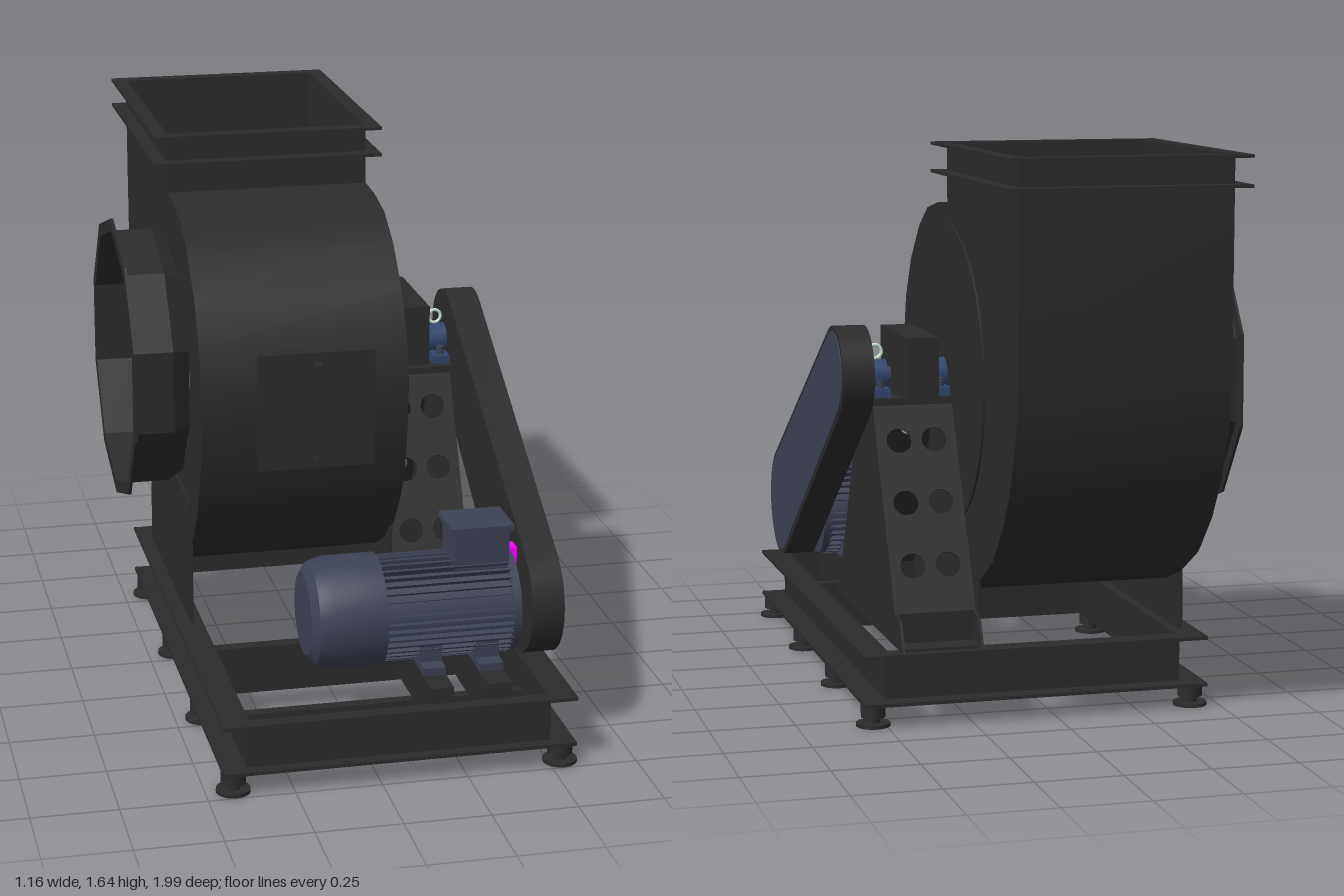
import * as THREE from 'three';
import { toCreasedNormals } from 'three/addons/utils/BufferGeometryUtils.js';

const material = (color) => new THREE.MeshStandardMaterial({ color, side: THREE.DoubleSide });
const dark = material(0x2b2b2b);
const slate = material(0x3d4254);
const blue = material(0x33466e);
const purple = material(0x6a1fe0);
const magenta = material(0xff00ff);
const pale = material(0xcfe8d8);

const AXIS_Y = 0.955, AXIS_Z = -0.14; // fan shaft line
const MOTOR_Y = 0.412, MOTOR_Z = 0.695; // motor shaft line

export function createModel() {
  const root = new THREE.Group();

  const add = (name, geometry, mat = dark, parent = root) => {
    const mesh = new THREE.Mesh(geometry, mat);
    mesh.name = name;
    parent.add(mesh);
    return mesh;
  };
  // box given by its extents
  const box = (name, x0, x1, y0, y1, z0, z1, mat, parent) => {
    const mesh = add(name, new THREE.BoxGeometry(x1 - x0, y1 - y0, z1 - z0), mat, parent);
    mesh.position.set((x0 + x1) / 2, (y0 + y1) / 2, (z0 + z1) / 2);
    return mesh;
  };
  // side plate: [z, y] outline, thickness along x
  const plate = (name, points, x0, x1, mat, holes = []) => {
    const shape = new THREE.Shape(points.map(([z, y]) => new THREE.Vector2(-z, y)));
    for (const [z, y, r] of holes) shape.holes.push(new THREE.Path().absarc(-z, y, r, 0, Math.PI * 2, true));
    const g = new THREE.ExtrudeGeometry(shape, { depth: x1 - x0, bevelEnabled: false, curveSegments: 24 });
    g.rotateY(Math.PI / 2).translate(x0, 0, 0);
    return add(name, toCreasedNormals(g, 0.5), mat);
  };
  // turned part around an x axis: profile of [radius, x]
  const turned = (name, profile, y, z, mat, sides = 32) => {
    const g = new THREE.LatheGeometry(profile.map(([r, x]) => new THREE.Vector2(r, x)), sides);
    g.rotateZ(-Math.PI / 2);
    const mesh = add(name, toCreasedNormals(g, sides < 16 ? 0.3 : 0.5), mat);
    mesh.position.set(0, y, z);
    return mesh;
  };

  // Base frame of channels opening outwards
  for (const [a, b, web] of [[-0.455, -0.38, -0.385], [0.49, 0.57, 0.49]]) {
    box('sideRailWeb', web, web + 0.01, 0.065, 0.215, -0.565, 0.965);
    for (const y of [0.065, 0.205]) box('sideRailFlange', a, b, y, y + 0.01, -0.62, 1);
  }
  for (const [web, a, b] of [[0.955, 0.955, 1], [-0.565, -0.62, -0.555]]) {
    box('endRailWeb', -0.385, 0.5, 0.065, 0.215, web, web + 0.01);
    for (const y of [0.065, 0.205]) box('endRailFlange', -0.455, 0.57, y, y + 0.01, a, b);
  }
  box('crossMember', -0.385, 0.495, 0.07, 0.215, 0.41, 0.45);
  box('lowCrossMember', -0.385, 0.495, 0.07, 0.12, 0.68, 0.715);

  // Anti-vibration feet
  for (const x of [-0.42, 0.535]) for (const z of [0.95, 0.45, -0.055, -0.56]) {
    for (const [r, y, h] of [[0.05, 0.005, 0.01], [0.02, 0.02, 0.03], [0.036, 0.047, 0.04]])
      add('foot', new THREE.CylinderGeometry(r, r, h, 16)).position.set(x, y, z);
  }

  // Scroll casing: outline from the outlet lip round to the outlet back
  const scroll = [[-0.15, 1.64], [-0.15, 1.46], [-0.03, 1.455], [0.1, 1.43], [0.21, 1.365], [0.32, 1.255],
    [0.39, 1.13], [0.42, 1.0], [0.415, 0.88], [0.39, 0.74], [0.34, 0.62], [0.26, 0.51], [0.16, 0.42],
    [0.04, 0.355], [-0.1, 0.325], [-0.25, 0.32], [-0.38, 0.345], [-0.51, 0.39], [-0.67, 0.48],
    [-0.785, 0.6], [-0.86, 0.72], [-0.92, 0.88], [-0.94, 1.05], [-0.945, 1.64]];
  const wall = new THREE.PlaneGeometry(1, 1, scroll.length - 1, 1);
  scroll.forEach(([z, y], i) => {
    wall.attributes.position.setXYZ(i, -0.405, y, z);
    wall.attributes.position.setXYZ(i + scroll.length, 0.21, y, z);
  });
  add('scrollWall', toCreasedNormals(wall, 0.5));
  plate('inletSide', scroll, -0.405, -0.4, dark, [[AXIS_Z, AXIS_Y, 0.36]]);
  plate('driveSide', scroll, 0.203, 0.21, dark);
  turned('driveCoverDisc', [[0, 0.216], [0.45, 0.216], [0.45, 0.208]], AXIS_Y, AXIS_Z, dark, 40);
  for (const x of [-0.412, 0.203])
    plate('casingLeg', [[0.23, 0.215], [0.23, 0.6], [-0.51, 0.6], [-0.51, 0.215]], x, x + 0.008, dark,
      x < 0 ? [[AXIS_Z, AXIS_Y, 0.34]].filter(() => false) : []);

  // Outlet flanges
  for (const y of [1.55, 1.632]) {
    const rect = (s, x0, x1, a, b) => s.moveTo(x0, a).lineTo(x1, a).lineTo(x1, b).lineTo(x0, b).closePath();
    const ring = rect(new THREE.Shape(), -0.445, 0.25, 0.105, 0.99);
    ring.holes.push(rect(new THREE.Path(), -0.404, 0.207, 0.152, 0.944));
    const g = new THREE.ExtrudeGeometry(ring, { depth: 0.009, bevelEnabled: false });
    add('outletFlange', g.rotateX(-Math.PI / 2)).position.y = y;
  }

  // Inlet collar, flange and inner cone; ten-sided with a corner on top
  const collar = turned('inletCollar', [[0.37, -0.405], [0.4, -0.455], [0.4, -0.572]], AXIS_Y, AXIS_Z, dark, 10);
  const rim = turned('inletFlange', [[0.398, -0.578], [0.437, -0.578], [0.437, -0.57], [0.398, -0.57], [0.398, -0.578]],
    AXIS_Y, AXIS_Z, dark, 10);
  for (const part of [collar, rim]) part.rotation.x = Math.PI / 2;
  turned('inletCone', [[0.38, -0.403], [0.33, -0.3], [0.275, -0.17], [0.25, -0.07]], AXIS_Y, AXIS_Z, dark);

  // Impeller: shroud, back disc, blades
  turned('impellerShroud', [[0.25, -0.11], [0.27, -0.07], [0.37, -0.01], [0.37, 0.02]], AXIS_Y, AXIS_Z, purple);
  turned('impellerRim', [[0.365, 0.02], [0.365, 0.175], [0, 0.175]], AXIS_Y, AXIS_Z, purple, 24);
  turned('impellerBackDisc', [[0, 0.1], [0.07, 0.1], [0.07, 0.165], [0.36, 0.165]], AXIS_Y, AXIS_Z, dark);
  for (let i = 0; i < 10; i++) {
    const a = (i / 10) * Math.PI * 2;
    const blade = box('impellerBlade', -0.005, 0.165, 0, 0.13, 0, 0.006, dark);
    blade.position.set(0.08, AXIS_Y + 0.3 * Math.cos(a), AXIS_Z + 0.3 * Math.sin(a));
    blade.rotation.x = a + 0.7;
  }

  // Inspection door with handle
  box('doorNeck', -0.23, 0.055, 0.82, 1.11, 0.37, 0.515);
  box('doorPanel', -0.26, 0.085, 0.79, 1.137, 0.51, 0.52);
  box('doorHandle', -0.097, -0.077, 0.82, 1.11, 0.553, 0.56);
  for (const y of [0.82, 1.103]) box('doorHandleArm', -0.097, -0.077, y, y + 0.007, 0.52, 0.556);

  // Bearing pedestal
  const trapezoid = [[0.31, 0.215], [0.27, 0.3], [0.23, 0.31], [-0.05, 0.88], [-0.23, 0.88],
    [-0.51, 0.31], [-0.565, 0.3], [-0.61, 0.215]];
  for (const x of [0.218, 0.45]) plate('pedestalSide', trapezoid, x, x + 0.008);
  const slant = Math.atan2(0.28, 0.57);
  for (const [z, angle] of [[0.23, -slant], [-0.51, slant]]) {
    const s = new THREE.Shape().moveTo(0.22, 0).lineTo(0.455, 0).lineTo(0.455, 0.635).lineTo(0.22, 0.635).closePath();
    for (const x of [0.285, 0.39]) for (const y of [0.14, 0.33, 0.52])
      s.holes.push(new THREE.Path().absarc(x, y, 0.037, 0, Math.PI * 2, true));
    const sheet = add('pedestalPerforatedPlate', new THREE.ExtrudeGeometry(s, { depth: 0.006, bevelEnabled: false }));
    sheet.position.set(0, 0.31, z);
    sheet.rotation.x = angle;
    box('pedestalFootWall', 0.22, 0.455, 0.215, 0.31, z - 0.004, z + 0.004);
    const out = Math.sign(z);
    box('pedestalFootPlate', 0.22, 0.455, 0.213, 0.223, Math.min(z, z + out * 0.08), Math.max(z, z + out * 0.08));
  }
  box('bearingPlate', 0.22, 0.458, 0.88, 0.9, -0.27, -0.01);

  // Shaft, bearings and shaft cover
  turned('shaft', [[0, 0.1], [0.025, 0.1], [0.025, 0.52], [0, 0.52]], AXIS_Y, AXIS_Z, slate, 16);
  for (const x of [0.25, 0.43]) {
    box('bearingBase', x - 0.025, x + 0.025, 0.9, 0.925, AXIS_Z - 0.1, AXIS_Z + 0.1, blue);
    turned('bearingHousing', [[0, x - 0.03], [0.047, x - 0.03], [0.047, x + 0.03], [0, x + 0.03]], AXIS_Y, AXIS_Z, blue, 20);
    for (const z of [-0.075, 0.075])
      add('bearingBolt', new THREE.CylinderGeometry(0.012, 0.012, 0.03, 6), slate).position.set(x, 0.935, AXIS_Z + z);
  }
  box('shaftCover', 0.292, 0.386, 0.905, 1.09, -0.375, -0.025);
  add('liftingEye', new THREE.TorusGeometry(0.02, 0.005, 8, 20), pale).position.set(0.43, 1.025, AXIS_Z);

  // Belt guard: two round ends joined by straight sides
  const stadium = (grow) => {
    const [z0, y0, r0, z1, y1, r1] = [-0.145, 0.965, 0.14 + grow, 0.72, 0.43, 0.17 + grow];
    const dir = Math.atan2(y1 - y0, z1 - z0);
    const spread = Math.acos((r0 - r1) / Math.hypot(z1 - z0, y1 - y0));
    const points = [];
    const arc = (z, y, r, from, to) => {
      for (let i = 0; i <= 16; i++) {
        const a = from + ((to - from) * i) / 16;
        points.push([z + r * Math.cos(a), y + r * Math.sin(a)]);
      }
    };
    arc(z1, y1, r1, dir - spread, dir + spread);
    arc(z0, y0, r0, dir + spread, dir - spread + Math.PI * 2);
    return points;
  };
  plate('beltGuard', stadium(0), 0.462, 0.557);
  plate('beltGuardFace', stadium(-0.015), 0.55, 0.56, slate);

  // Motor slide rails and feet
  for (const [a, b] of [[0.15, 0.215], [0.315, 0.385]]) {
    box('motorBeam', a, b, 0.14, 0.215, 0.45, 0.96);
    box('slideRail', a, b, 0.215, 0.262, 0.46, 0.96);
    box('motorFoot', a, b, 0.262, 0.285, 0.53, 0.87, slate);
    for (const z of [0.58, 0.79]) box('motorFootLeg', a, b, 0.28, 0.35, z, z + 0.03, slate);
  }
  // Motor
  turned('motorFanCover', [[0, -0.168], [0.12, -0.165], [0.15, -0.145], [0.163, -0.1], [0.163, 0.05], [0.13, 0.05]],
    MOTOR_Y, MOTOR_Z, slate);
  turned('motorBody', [[0.138, 0.05], [0.138, 0.42], [0.15, 0.42], [0.15, 0.445], [0.1, 0.457], [0, 0.457]],
    MOTOR_Y, MOTOR_Z, slate);
  const fins = 40;
  for (let i = 0; i < fins; i++) {
    const a = (i / fins) * Math.PI * 2;
    const fin = box('motorFin', 0.05, 0.425, 0, 0.03, 0, 0.007, slate);
    fin.position.set(0.2375, MOTOR_Y + 0.14 * Math.cos(a), MOTOR_Z + 0.14 * Math.sin(a));
    fin.rotation.x = a;
  }
  turned('motorShaft', [[0, 0.45], [0.025, 0.45], [0.025, 0.51], [0, 0.51]], MOTOR_Y, MOTOR_Z, slate, 16);
  box('terminalBox', 0.262, 0.425, 0.53, 0.65, 0.63, 0.765, slate);
  box('terminalLid', 0.25, 0.435, 0.65, 0.667, 0.62, 0.78, slate);
  box('cableGland', 0.428, 0.461, 0.525, 0.575, 0.67, 0.72, magenta);

  return root;
}
